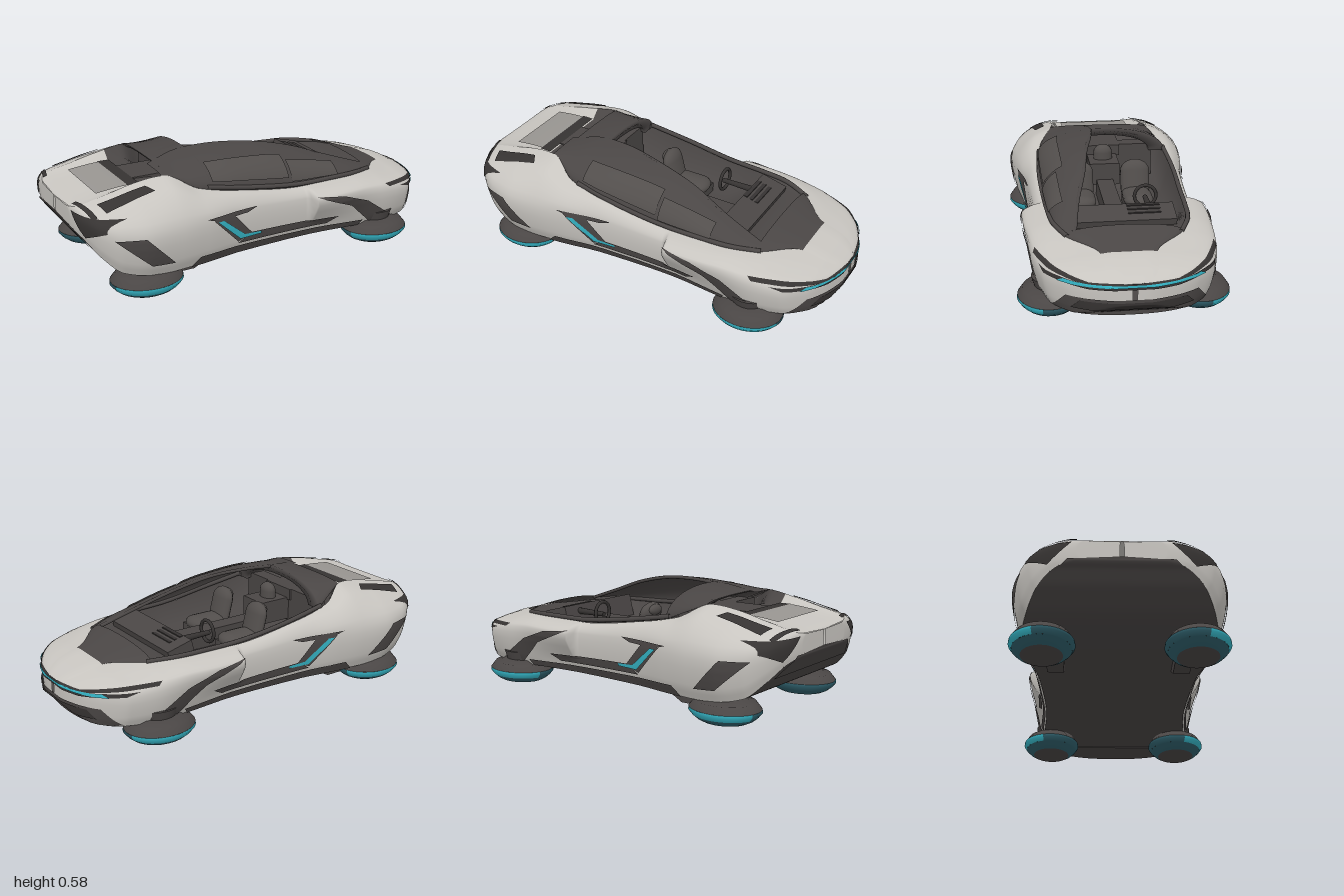
import * as THREE from 'three';

const mat = (name, color) => {
  const m = new THREE.MeshStandardMaterial({ color, side: THREE.DoubleSide });
  m.name = name;
  return m;
};
const paint = mat('pale paint', 0xc8c5c0), greyPaint = mat('grey panel', 0x989591);
const dark = mat('dark trim', 0x4a4645), glass = mat('dark glass', 0x524e4c);
const black = mat('black vent', 0x363332), cyan = mat('cyan light', 0x35b3c4), teal = mat('deep teal', 0x2f5f6b);

// Stations: x, half width, floor y, shoulder y, deck half width, deck edge y, deck centre y
const ST = [
  [-1, .01, .34, .38, .005, .415, .415], [-.998, .2, .33, .38, .17, .42, .42],
  [-.97, .33, .29, .38, .24, .435, .43], [-.92, .41, .22, .37, .25, .45, .44],
  [-.83, .46, .14, .35, .25, .47, .455], [-.7, .485, .11, .34, .25, .5, .465],
  [-.55, .475, .1, .34, .27, .52, .46], [-.4, .455, .1, .34, .34, .45, .3],
  [-.2, .42, .1, .33, .36, .41, .24], [.2, .4, .1, .31, .35, .36, .24],
  [.47, .42, .1, .31, .33, .36, .33], [.62, .43, .1, .3, .28, .35, .35],
  [.8, .39, .1, .28, .13, .33, .335], [.9, .3, .1, .27, .12, .305, .31],
  [.95, .22, .12, .26, .1, .285, .29], [.98, .14, .15, .255, .07, .272, .275],
  [.996, .07, .17, .25, .03, .264, .265], [1, .01, .18, .25, .005, .26, .26],
];
const ROOF = [[-.56, .53], [-.4, .565], [-.2, .578], [0, .57], [.2, .532], [.4, .468], [.6, .4], [.8, .337]];
const EDGE = [[-.56, .1], [-.36, .06], [-.2, .08], [0, .12], [.2, .15], [.42, .2], [.62, .23]];

// Monotone cubic through a table column
function lerpTable(t, k, x) {
  const n = t.length;
  x = Math.min(Math.max(x, t[0][0]), t[n - 1][0]);
  let i = 0;
  while (i < n - 2 && x > t[i + 1][0]) i++;
  const d = (j) => (t[j + 1][k] - t[j][k]) / (t[j + 1][0] - t[j][0]);
  const slope = (j) => {
    if (j === 0 || j === n - 1) return d(j ? n - 2 : 0);
    const a = d(j - 1), b = d(j);
    return a * b <= 0 ? 0 : (2 * a * b) / (a + b);
  };
  const h = t[i + 1][0] - t[i][0], u = (x - t[i][0]) / h, u2 = u * u, u3 = u2 * u;
  return (2 * u3 - 3 * u2 + 1) * t[i][k] + (u3 - 2 * u2 + u) * h * slope(i)
    + (3 * u2 - 2 * u3) * t[i + 1][k] + (u3 - u2) * h * slope(i + 1);
}
const at = (x) => [1, 2, 3, 4, 5, 6].map((k) => lerpTable(ST, k, x));

// Side cross-section from floor edge up to deck edge, as [z, y] points
const NV = 16, FLOOR = .92;
function section(x) {
  const [w, yb, ys, wt, yt] = at(x);
  const flare = .065 * THREE.MathUtils.smoothstep(x, .188, .2) * (1 - THREE.MathUtils.smoothstep(x, .22, .72));
  const c = new THREE.CatmullRomCurve3([
    [w * FLOOR, yb], [w * .98, yb + .3 * (ys - yb)], [w + flare, ys],
    [w * .55 + wt * .45 + flare * .6, ys + .7 * (yt - ys)], [wt, yt],
  ].map(([z, y]) => new THREE.Vector3(z, y, 0)));
  return c.getPoints(NV).map((p) => [p.x, p.y]);
}
function sideZ(x, y) {
  const s = section(x);
  for (let i = 0; i < NV; i++) {
    if (y <= s[i + 1][1]) {
      const f = (y - s[i][1]) / (s[i + 1][1] - s[i][1] || 1);
      return s[i][0] + Math.max(0, f) * (s[i + 1][0] - s[i][0]);
    }
  }
  return s[NV][0];
}
function topY(x, z) {
  const s = section(x);
  for (let i = NV; i > NV / 2; i--) {
    if (z <= s[i - 1][0]) return s[i][1] + Math.max(0, (z - s[i][0]) / (s[i - 1][0] - s[i][0])) * (s[i - 1][1] - s[i][1]);
  }
  return s[NV / 2][1];
}
function endX(z, y, sign) {
  let a = .6, b = 1;
  for (let i = 0; i < 18; i++) {
    const m = (a + b) / 2;
    if (sideZ(sign * m, y) > Math.abs(z) && at(sign * m)[1] <= y) a = m; else b = m;
  }
  return sign * Math.min(a + .006, 1);
}

// Surface from a function of (u, v)
function grid(parent, name, material, nu, nv, fn) {
  const pos = [], idx = [];
  for (let i = 0; i <= nu; i++) for (let j = 0; j <= nv; j++) pos.push(...fn(i / nu, j / nv, j));
  for (let i = 0; i < nu; i++) for (let j = 0; j < nv; j++) {
    const a = i * (nv + 1) + j, b = a + nv + 1;
    idx.push(a, b, a + 1, b, b + 1, a + 1);
  }
  const g = new THREE.BufferGeometry();
  g.setAttribute('position', new THREE.Float32BufferAttribute(pos, 3));
  g.setIndex(idx);
  g.computeVertexNormals();
  return add(parent, name, g, material);
}
function add(parent, name, geo, material, x = 0, y = 0, z = 0) {
  const m = new THREE.Mesh(geo, material);
  m.name = name;
  m.position.set(x, y, z);
  parent.add(m);
  return m;
}
// Thin plate over four corners, projected on the body
function plate(parent, name, material, [a, b, c, d], map, n = 14) {
  const mix = (p, q, t) => p + (q - p) * t;
  grid(parent, name, material, n, n, (u, v) =>
    map(...[0, 1].map((k) => mix(mix(a[k], b[k], u), mix(d[k], c[k], u), v))));
}
const onSide = (s, lift = .007) => (x, y) => [x, y, s * (sideZ(x, y) + lift)];
const onTop = (s) => (x, z) => [x, topY(x, z) + .007, s * z];
const onEnd = (sign, lift = 0) => (z, y) => [endX(z, y, sign) + sign * lift, y, z];

function canopyPoint(x, t, s) {
  const [, , , wt, yt] = at(x);
  const yr = Math.max(lerpTable(ROOF, 1, x), yt + .004);
  return [x, yt + (yr - yt) * Math.sin(t), s * wt * Math.pow(Math.max(Math.cos(t), 0), .9)];
}
function canopy(parent, name, material, x0, x1, s, t0, tEnd, lift = 0) {
  grid(parent, name, material, 40, 16, (u, v) => {
    const x = x0 + (x1 - x0) * u, p = canopyPoint(x, t0 + (tEnd(x) - t0) * v, s);
    return [p[0], p[1] + lift, p[2] + s * lift];
  });
}

export function createModel() {
  const car = new THREE.Group();
  car.name = 'hoverCar';
  const body = new THREE.Group();
  body.name = 'body';
  car.add(body);

  // Body sides, floor and deck
  const xs = (u) => -Math.cos(u * Math.PI);
  for (const s of [1, -1]) grid(body, 'bodySide', paint, 260, NV, (u, v, j) => {
    const p = section(xs(u))[j];
    return [xs(u), p[1], s * p[0]];
  });
  grid(body, 'floor', dark, 120, 2, (u, v) => [xs(u), at(xs(u))[1], (v * 2 - 1) * at(xs(u))[0] * FLOOR]);
  for (const [name, m, x0, x1] of [['rearDeck', paint, -1, -.64], ['cabinTub', dark, -.64, .8], ['hood', paint, .8, 1]])
    grid(body, name, m, 60, 6, (u, v, j) => {
      const x = x0 + (x1 - x0) * u, [, , , wt, yt, yc] = at(x), k = Math.abs(j - 3);
      return [x, k === 3 ? yt : yc, Math.sign(j - 3) * [0, .4 * wt, wt - Math.min(.05, wt * .3), wt][k]];
    });
  const deckPlate = (name, m, x0, len, width) => grid(body, name, m, 8, 2, (u, v) =>
    [x0 + len * u, at(x0 + len * u)[5] + .008, (v - .5) * width]);
  deckPlate('deckPanel', greyPaint, -.86, .16, .38);
  deckPlate('deckSlot', black, -.7, .06, .4);

  // Side vents, lights and rocker trim, mirrored
  for (const s of [1, -1]) {
    const side = (name, m, c, lift) => plate(body, name, m, c, onSide(s, lift));
    side('rearVent', dark, [[-.88, .32], [-.74, .315], [-.59, .16], [-.71, .17]]);
    side('doorIntakeTop', dark, [[-.42, .335], [-.12, .335], [-.18, .315], [-.34, .31]]);
    side('doorIntake', dark, [[-.38, .32], [-.26, .32], [-.15, .2], [-.23, .17]]);
    side('doorSill', dark, [[-.23, .16], [-.16, .205], [.36, .185], [.3, .15]]);
    side('doorLight', cyan, [[-.36, .31], [-.325, .31], [-.195, .205], [-.22, .185]], .012);
    side('doorLightTail', cyan, [[-.22, .185], [-.195, .205], [-.1, .2], [-.1, .187]], .012);
    side('frontVentTop', dark, [[.2, .33], [.36, .31], [.52, .25], [.42, .24]]);
    side('frontVent', dark, [[.42, .24], [.52, .25], [.7, .125], [.56, .115]]);
    side('rocker', dark, [[-.45, .15], [.52, .13], [.5, .1], [-.5, .1]]);
    plate(body, 'rearTopVent', black, [[-.9, .3], [-.66, .3], [-.63, .35], [-.88, .37]], onTop(s));
    plate(body, 'tailLight', black, [[s * .22, .415], [s * .42, .405], [s * .43, .35], [s * .33, .31]], onEnd(-1));
    plate(body, 'tailLightTop', black, [[-.985, .2], [-.965, .2], [-.925, .37], [-.945, .37]], onTop(s));
    // Split headlight with a glowing inner bar
    plate(body, 'headlightUpper', black, [[s * .2, .268], [s * .42, .312], [s * .43, .295], [s * .2, .255]], onEnd(1));
    plate(body, 'headlightLower', black, [[s * .2, .258], [s * .41, .28], [s * .39, .26], [s * .2, .238]], onEnd(1));
    plate(body, 'lampGlow', cyan, [[s * .2, .262], [s * .31, .268], [s * .34, .252], [s * .2, .25]], onEnd(1, .005));
  }
  // Nose light bar, grille and rear panel
  plate(body, 'noseBar', black, [[-.2, .268], [.2, .268], [.2, .238], [-.2, .238]], onEnd(1), 24);
  plate(body, 'noseGlow', cyan, [[-.2, .262], [.2, .262], [.2, .25], [-.2, .25]], onEnd(1, .005), 24);
  plate(body, 'grille', dark, [[-.3, .19], [.3, .19], [.36, .105], [-.36, .105]], onEnd(1), 24);
  plate(body, 'grilleMouth', black, [[-.24, .178], [.24, .178], [.28, .135], [-.28, .135]], onEnd(1, .005), 24);
  plate(body, 'rearPanel', dark, [[-.24, .33], [.24, .33], [.34, .23], [-.34, .23]], onEnd(-1), 24);
  const lip = new THREE.Shape();
  lip.moveTo(.75, -.36);
  lip.quadraticCurveTo(.95, -.33, .95, 0);
  lip.quadraticCurveTo(.95, .33, .75, .36);
  add(body, 'frontSplitter', new THREE.ExtrudeGeometry(lip, { depth: .03, bevelEnabled: false, curveSegments: 16 }), dark, 0, .125, 0).rotation.x = Math.PI / 2;

  // Canopy: closed on the left, only a hoop and cowl on the right
  const top = new THREE.Group();
  top.name = 'canopy';
  car.add(top);
  const full = () => Math.PI / 2;
  const cut = (x) => Math.acos(Math.pow(Math.min(1, lerpTable(EDGE, 1, x) / at(x)[3]), 1 / .9));
  canopy(top, 'leftCanopy', dark, -.56, .62, 1, 0, cut);
  for (const s of [1, -1]) {
    canopy(top, 'cowl', dark, .62, .8, s, 0, full);
    // Hoop: outer skin, inner skin and both edges as one closed band
    const hoop = [[-.53, 1], [-.34, 1], [-.34, .76], [-.53, .76], [-.53, 1]];
    grid(top, 'roofHoop', dark, 24, 4, (u, v, j) => {
      const [x, k] = hoop[j], p = canopyPoint(x, u * Math.PI / 2, s), base = at(x)[4];
      return [x, base + (p[1] - base) * (k === 1 ? 1 : .72), p[2] * k];
    });
    const rail = [-.36, -.1, .15, .35, .5, .64].map((x) => new THREE.Vector3(...canopyPoint(x, .08, s)));
    add(top, 'beltRail', new THREE.TubeGeometry(new THREE.CatmullRomCurve3(rail), 30, .012, 8), dark);
  }
  canopy(top, 'sideWindow', glass, -.33, .1, 1, .25, () => .85, .005);
  canopy(top, 'quarterWindow', glass, .115, .4, 1, .15, () => .7, .005);
  const edge = [-.36, -.2, 0, .2, .42, .62].map((x) => new THREE.Vector3(...canopyPoint(x, cut(x), 1)));
  add(top, 'roofEdge', new THREE.TubeGeometry(new THREE.CatmullRomCurve3(edge), 40, .009, 8), dark, 0, -.008, 0);

  // Cabin: seats, console, dash, wheel
  const cabin = new THREE.Group();
  cabin.name = 'cabin';
  car.add(cabin);
  const box = (name, w, h, d, x, y, z, m = dark) => add(cabin, name, new THREE.BoxGeometry(w, h, d), m, x, y, z);
  const pad = new THREE.CapsuleGeometry(.06, .1, 6, 14);
  for (const z of [.15, -.15]) {
    box('seatBase', .2, .06, .14, .02, .26, z);
    const cushion = add(cabin, 'seatCushion', pad, glass, .02, .3, z);
    cushion.rotation.z = Math.PI / 2;
    cushion.scale.set(.6, 1, 1.3);
    const back = add(cabin, 'seatBack', pad, glass, -.08, .36, z);
    back.rotation.z = .25;
    back.scale.set(.6, 1, 1.3);
    add(cabin, 'headrest', new THREE.SphereGeometry(.04, 16, 10), glass, -.12, .43, z).scale.set(.6, .7, 1.2);
  }
  box('rearBulkhead', .08, .18, .56, -.4, .38, 0);
  box('rearSpine', .3, .06, .2, -.5, .44, 0);
  box('spineStep', .2, .12, .16, -.28, .36, 0);
  add(cabin, 'rearHeadrest', pad, glass, -.28, .42, 0).scale.set(.6, .72, .85);
  box('centreConsole', .6, .1, .09, .1, .28, 0);
  box('dashboard', .14, .12, .54, .44, .33, 0).rotation.z = -.25;
  for (let i = 0; i < 3; i++) box('dashVent', .02, .006, .16, .4 + i * .03, .402 - i * .008, -.12, black);
  add(cabin, 'steeringWheel', new THREE.TorusGeometry(.055, .009, 8, 24), black, .22, .38, -.16).rotation.y = Math.PI / 2;
  add(cabin, 'steeringColumn', new THREE.CylinderGeometry(.012, .018, .2, 10), black, .31, .37, -.16).rotation.z = Math.PI / 2;

  // Four hover pods, glowing on the outward side
  const band = [[.178, .066], [.18, .052], [.163, .032]];
  const rings = [
    ['podTop', dark, [[0, .115], [.1, .115], [.12, .1], [.15, .1], [.178, .066]]],
    ['podSkirt', teal, [[.163, .032], [.14, .014], [.115, .002]]],
    ['podBase', dark, [[.115, .002], [.1, 0], [0, 0]]],
  ];
  const lathe = (pts, start, length) => new THREE.LatheGeometry(pts.map((p) => new THREE.Vector2(...p)), 40, start, length);
  for (const x of [-.69, .63]) for (const s of [1, -1]) {
    const pod = new THREE.Group();
    pod.name = 'hoverPod';
    pod.position.set(x, 0, s * .355);
    pod.scale.z = .85;
    for (const [name, m, pts] of rings) add(pod, name, lathe(pts, 0, Math.PI * 2), m);
    const mid = s > 0 ? 0 : Math.PI, half = 1.3;
    add(pod, 'podGlow', lathe(band, mid - half, 2 * half), cyan);
    add(pod, 'podBand', lathe(band, mid + half, 2 * (Math.PI - half)), teal);
    add(pod, 'podMount', new THREE.CylinderGeometry(.1, .08, .06, 20), dark, 0, .13, 0);
    car.add(pod);
    // Fin tying each rear pod to the floor
    if (x < 0) {
      const fin = new THREE.Shape([[-.6, .11], [-.3, .11], [-.43, .04], [-.56, .04]].map((p) => new THREE.Vector2(...p)));
      add(car, 'podFin', new THREE.ExtrudeGeometry(fin, { depth: .08, bevelEnabled: false }), dark, 0, 0, s * .3 - .04);
    }
  }
  return car;
}
